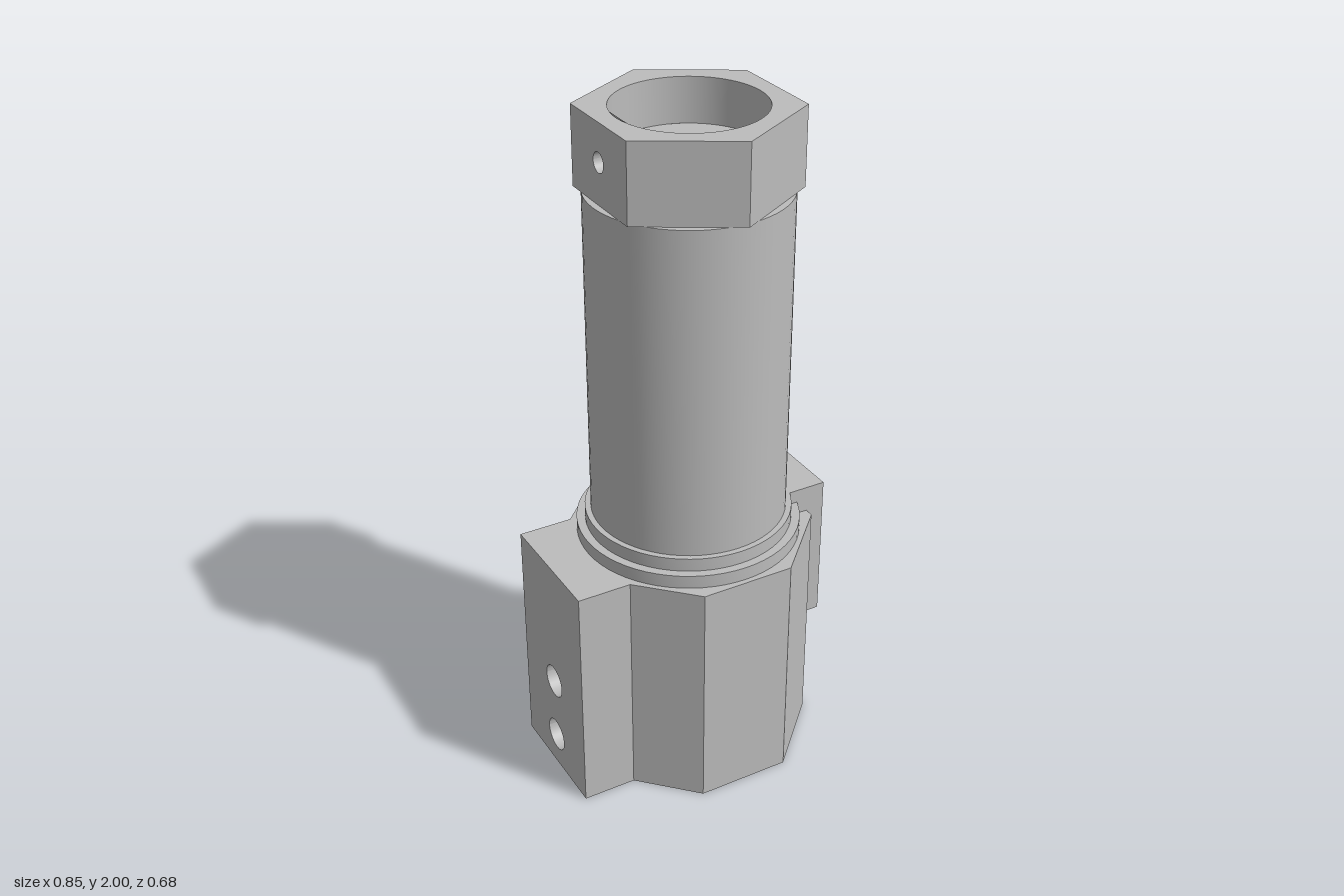
import * as THREE from 'three';
import { toCreasedNormals } from 'three/addons/utils/BufferGeometryUtils.js';

const SEG = 32;

// Horizontal face from an outline of [x, z] points with a round opening
function cap(outline, holeR, y, up) {
  const s = new THREE.Shape(outline.map(([x, z]) => new THREE.Vector2(x, z)));
  s.holes.push(new THREE.Path().absarc(0, 0, holeR, 0, Math.PI * 2, true));
  return new THREE.ShapeGeometry(s, SEG).rotateX(up ? -Math.PI / 2 : Math.PI / 2).translate(0, y, 0);
}

// Upright faces round an outline; the first edge is left out for a drilled panel
function walls(outline, y0, y1) {
  const v = [];
  for (let i = 1; i < outline.length; i++) {
    const [ax, az] = outline[i], [bx, bz] = outline[(i + 1) % outline.length];
    v.push(ax, y0, az, bx, y0, bz, bx, y1, bz, ax, y0, az, bx, y1, bz, ax, y1, az);
  }
  const g = new THREE.BufferGeometry();
  g.setAttribute('position', new THREE.Float32BufferAttribute(v, 3));
  g.computeVertexNormals();
  return g;
}

// Rectangle in z, y with round holes
function drilledShape(half, y0, y1, holes) {
  const s = new THREE.Shape();
  s.moveTo(-half, y0).lineTo(half, y0).lineTo(half, y1).lineTo(-half, y1).closePath();
  for (const [y, r] of holes) s.holes.push(new THREE.Path().absarc(0, y, r, 0, Math.PI * 2, true));
  return s;
}

// Flat drilled face turned toward -x
function panel(x, half, y0, y1, holes) {
  return new THREE.ShapeGeometry(drilledShape(half, y0, y1, holes), SEG / 2)
    .rotateY(-Math.PI / 2).translate(x, 0, 0);
}

// Drilled patch of a bore wall, bent to radius R on the -x side
function borePatch(shape, R) {
  const g = new THREE.ShapeGeometry(shape, SEG / 2), p = g.attributes.position;
  for (let i = 0; i < p.count; i++) {
    const z = p.getX(i);
    p.setXYZ(i, -Math.sqrt(R * R - z * z), p.getY(i), -z);
  }
  g.computeVertexNormals();
  return g;
}

// Bore wall seen from inside, with a gap of half-width h left for a patch
function boreWall(R, y0, y1, h = 0) {
  const gap = Math.asin(h / R);
  return new THREE.LatheGeometry([new THREE.Vector2(R, y1), new THREE.Vector2(R, y0)],
    64, -Math.PI / 2 + gap, Math.PI * 2 - 2 * gap);
}

// Hole lining along x, from outer(z) to the bore of radius R
function crossHole(r, y, outer, R, start = 0, length = Math.PI * 2) {
  const g = new THREE.CylinderGeometry(r, r, 1, 32, 1, true, start, length), p = g.attributes.position;
  for (let i = 0; i < p.count; i++) {
    const z = -p.getZ(i);
    p.setXYZ(i, p.getY(i) > 0 ? outer(z) : -Math.sqrt(R * R - z * z), y + p.getX(i), z);
  }
  g.computeVertexNormals();
  return g;
}

export function createModel() {
  const model = new THREE.Group();
  model.name = 'valveBody';
  const steel = new THREE.MeshStandardMaterial({ color: 0xbcbcbc, side: THREE.DoubleSide });
  steel.name = 'steel grey';
  const axis = new THREE.Group();
  axis.name = 'fitting';
  axis.position.x = 0.027;
  model.add(axis);

  const part = (name, ...geometries) => {
    const group = new THREE.Group();
    group.name = name;
    for (const g of geometries) {
      const m = new THREE.Mesh(g, steel);
      m.name = name + 'Surface';
      group.add(m);
    }
    axis.add(group);
  };

  // Octagonal base with a square block on the -x side
  const base = [[-0.452, -0.188], [-0.452, 0.188], [-0.292, 0.188], [-0.14, 0.34], [0.14, 0.34],
    [0.339, 0.141], [0.339, -0.141], [0.14, -0.34], [-0.14, -0.34], [-0.292, -0.188]];
  const ports = [[0.107, 0.05], [0.31, 0.05]];
  part('base', walls(base, 0, 0.72), cap(base, 0.21, 0, false), cap(base, 0.27, 0.72, true),
    panel(-0.452, 0.188, 0, 0.72, ports));

  // Stepped lower bore with the two side ports opening into it
  const step = 0.165, bores = [[0.21, 0, step], [0.18, step, 0.4]];
  bores.forEach(([R, y0, y1], i) => {
    part('lowerBore', boreWall(R, y0, y1, 0.06),
      borePatch(drilledShape(0.06, y0, y1, [ports[i]]), R),
      new THREE.RingGeometry(i ? 0.1 : 0.18, R, 64).rotateX(Math.PI / 2).translate(0, y1, 0));
    part('sidePort', crossHole(ports[i][1], ports[i][0], () => -0.452, R));
  });
  part('throughBore', boreWall(0.1, 0.4, 1.87));

  // Collars and round shaft
  const profile = [[0.325, 0.72], [0.325, 0.76], [0.3, 0.76], [0.3, 0.8], [0.283, 0.8],
    [0.283, 1.775], [0.2, 1.775]].map(([x, y]) => new THREE.Vector2(x, y));
  part('shaft', toCreasedNormals(new THREE.LatheGeometry(profile, 64), 0.6));

  // Hexagonal head
  const hex = [[-0.263, -0.152], [-0.263, 0.152], [0, 0.304], [0.263, 0.152], [0.263, -0.152], [0, -0.304]];
  const pinR = 0.028, pinY = 1.892, floor = 1.87;
  part('hexHead', walls(hex, 1.775, 2), cap(hex, 0.21, 2, true), cap(hex, 0.2, 1.775, false),
    panel(-0.263, 0.152, 1.775, 2, [[pinY, pinR]]));

  // Upper counterbore, its wall and floor cut by the small cross hole
  const half = Math.acos((pinY - floor) / pinR), w = pinR * Math.sin(half);
  const notched = new THREE.Shape();
  notched.moveTo(-0.05, floor).lineTo(-w, floor);
  notched.absarc(0, pinY, pinR, -Math.PI / 2 - half, -Math.PI / 2 + half, true);
  notched.lineTo(0.05, floor).lineTo(0.05, 2).lineTo(-0.05, 2).closePath();
  const a = Math.asin(w / 0.21), b = Math.asin(w / 0.1);
  const seat = new THREE.Shape();
  seat.absarc(0, 0, 0.21, -Math.PI + a, Math.PI - a, false);
  seat.absarc(0, 0, 0.1, Math.PI - b, -Math.PI + b, true);
  part('upperBore', boreWall(0.21, floor, 2, 0.05), borePatch(notched, 0.21),
    new THREE.ShapeGeometry(seat, SEG).rotateX(-Math.PI / 2).translate(0, floor, 0));
  part('crossHole', crossHole(pinR, pinY, () => -0.263, 0.21),
    crossHole(pinR, pinY, z => -Math.sqrt(0.21 * 0.21 - z * z), 0.1, -Math.PI / 2 - half, 2 * half));

  // Mounting plate on the +x side with two blind holes
  const plate = drilledShape(0.113, 0.345, 0.8, [[0.41, 0.028], [0.73, 0.028]]);
  part('mountingPlate', new THREE.ExtrudeGeometry(plate, { depth: 0.123, bevelEnabled: false, curveSegments: 16 })
    .rotateY(Math.PI / 2).translate(0.273, 0, 0));

  return model;
}
